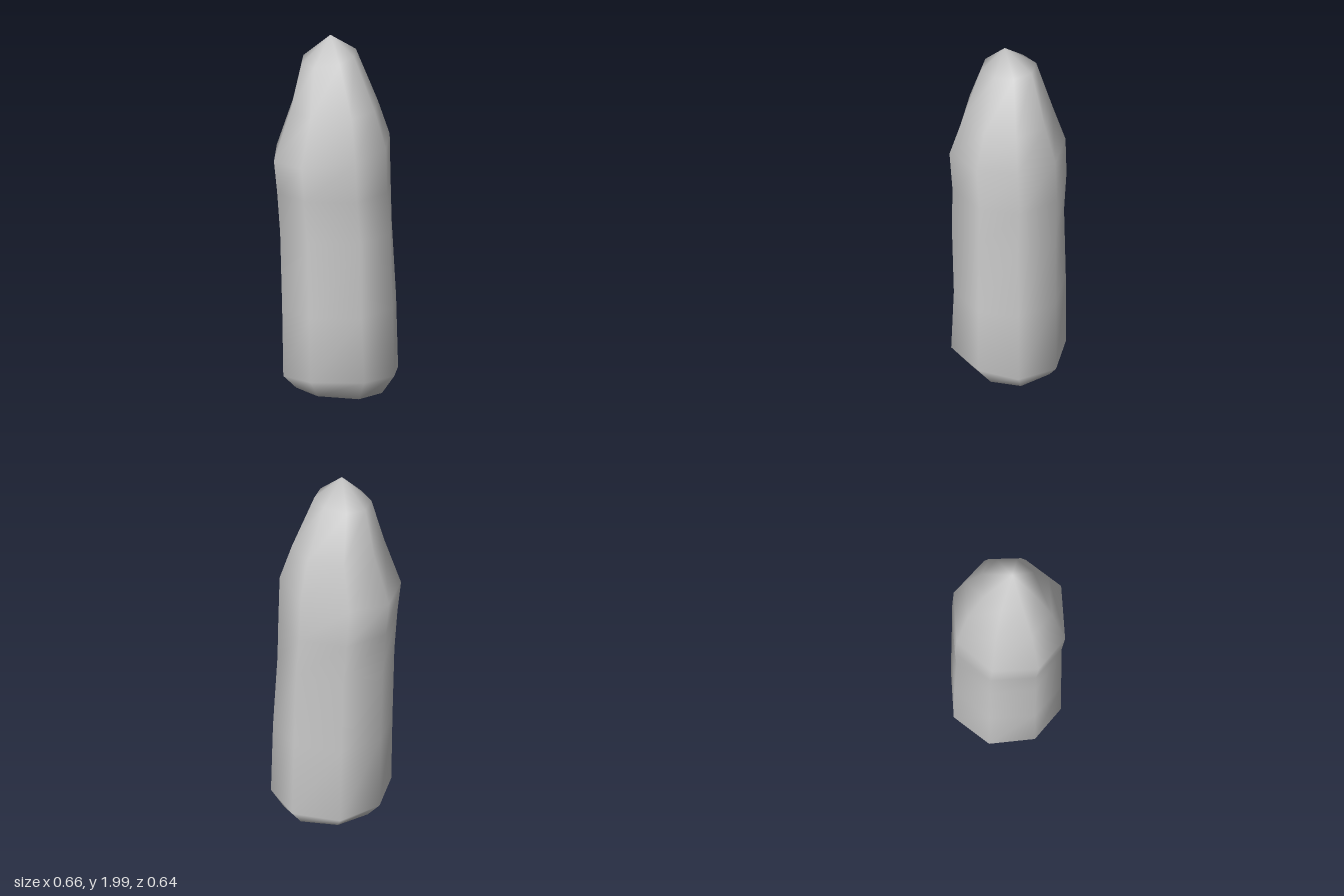
import * as THREE from 'three';

// Plan outline of the stone, counter-clockwise seen from above, scaled to -1..1
const PLAN = [
  [-1, -0.1], [-0.8, 0.66], [-0.2, 1], [0.68, 0.76],
  [1, 0.09], [0.84, -0.6], [0.2, -1], [-0.62, -0.79],
];

// Cross-sections: height, x range, z range, height slope along x and z
const RINGS = [
  [0.022, -0.23, 0.25, -0.27, 0.19, -0.05, 0.03],
  [0.11, -0.29, 0.33, -0.32, 0.295, 0.04, 0.11],
  [0.5, -0.295, 0.32, -0.315, 0.297, 0, 0],
  [0.92, -0.305, 0.31, -0.31, 0.3, 0, 0],
  [1.15, -0.32, 0.292, -0.307, 0.305, 0, 0],
  [1.37, -0.333, 0.292, -0.297, 0.325, 0.11, -0.06],
  [1.6, -0.243, 0.225, -0.235, 0.25, 0, 0],
  [1.88, -0.18, 0.11, -0.135, 0.165, 0.12, -0.1],
];

// Shallow chips: ring, corner, inward pull
const CHIPS = [[3, 5, 0.96], [2, 3, 0.96], [3, 7, 0.97]];

function stoneGeometry() {
  const n = PLAN.length;
  const positions = [];
  const index = [];

  RINGS.forEach(([y, x0, x1, z0, z1, sx, sz], r) => {
    PLAN.forEach(([u, v], i) => {
      const chip = CHIPS.find((c) => c[0] === r && c[1] === i);
      const k = chip ? chip[2] : 1;
      const x = THREE.MathUtils.lerp(x0, x1, (u + 1) / 2) * k;
      const z = THREE.MathUtils.lerp(z0, z1, (v + 1) / 2) * k;
      positions.push(x, Math.max(0, y + sx * x + sz * z), z);
    });
  });

  // Walls between neighbouring cross-sections
  for (let r = 0; r < RINGS.length - 1; r++) {
    for (let i = 0; i < n; i++) {
      const a = r * n + i;
      const b = r * n + ((i + 1) % n);
      index.push(a, b, b + n, a, b + n, a + n);
    }
  }

  // Pointed tip and nearly flat foot
  const tip = positions.length / 3;
  const foot = tip + 1;
  positions.push(-0.02, 2, 0.03, 0.02, 0.016, -0.04);
  const top = (RINGS.length - 1) * n;
  for (let i = 0; i < n; i++) {
    const j = (i + 1) % n;
    index.push(top + i, top + j, tip, j, i, foot);
  }

  const geometry = new THREE.BufferGeometry();
  geometry.setAttribute('position', new THREE.Float32BufferAttribute(positions, 3));
  geometry.setIndex(index);
  geometry.computeVertexNormals();
  return geometry;
}

export function createModel() {
  const group = new THREE.Group();
  group.name = 'standingStone';
  const stoneGrey = new THREE.MeshStandardMaterial({ color: 0xcccccc });
  stoneGrey.name = 'stone grey';
  const stone = new THREE.Mesh(stoneGeometry(), stoneGrey);
  stone.name = 'stone';
  group.add(stone);
  return group;
}
